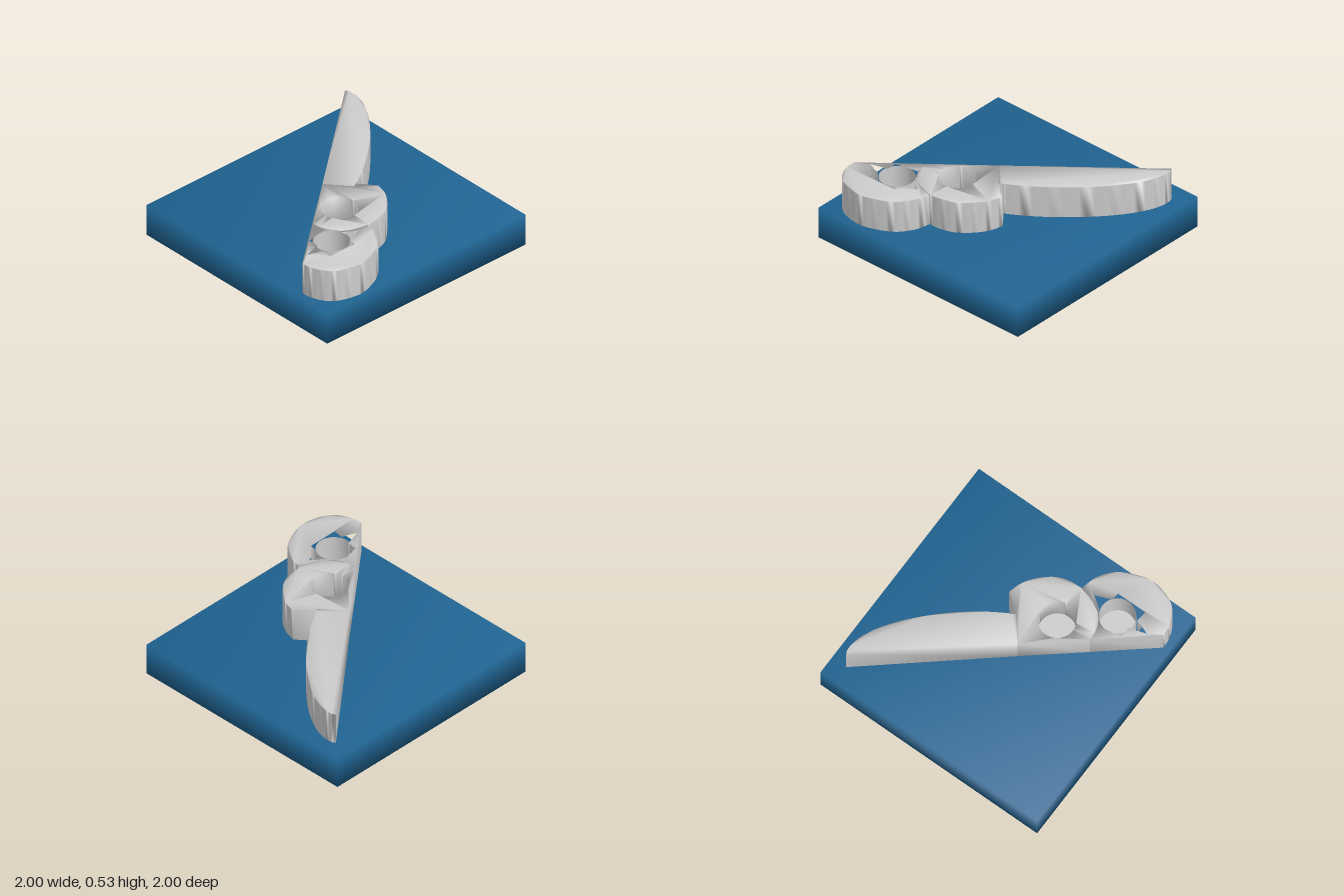
import * as THREE from 'three';
import { mergeVertices } from 'three/addons/utils/BufferGeometryUtils.js';

const SLAB = 0.265, TOP = 0.53;
const grey = new THREE.MeshStandardMaterial({ color: 0xcccccc });
const greyOpen = new THREE.MeshStandardMaterial({ color: 0xcccccc, side: THREE.DoubleSide });
const blue = new THREE.MeshStandardMaterial({ color: 0x1f6391 });

const vec = (pts) => pts.map(([x, z]) => new THREE.Vector2(x, z));
const curve = (pts, n) => new THREE.SplineCurve(vec(pts)).getPoints(n);

// Shares corner vertices so the shading blends over the edges
function soften(geometry) {
  geometry.deleteAttribute('normal');
  geometry.deleteAttribute('uv');
  const merged = mergeVertices(geometry, 1e-4);
  merged.computeVertexNormals();
  return merged;
}

function add(parent, name, geometry, material) {
  const mesh = new THREE.Mesh(geometry, material);
  mesh.name = name;
  parent.add(mesh);
  return mesh;
}

// Upright block from an outline in x and z, standing on the slab
function block(outline, hole) {
  const shape = new THREE.Shape(outline);
  if (hole) shape.holes.push(new THREE.Path(hole));
  const g = new THREE.ExtrudeGeometry(shape, { depth: TOP - SLAB, bevelEnabled: false });
  g.rotateX(Math.PI / 2).translate(0, TOP, 0);
  return soften(g);
}

// Flat disc closing a round hole at the bottom
function floorDisc(parent, name, x, z, r) {
  add(parent, name, new THREE.CircleGeometry(r, 40).rotateX(-Math.PI / 2), grey)
    .position.set(x, SLAB + 0.006, z);
}

export function createModel() {
  const model = new THREE.Group();
  model.name = 'bladeOnSlab';

  // Square base
  add(model, 'baseSlab', soften(new THREE.BoxGeometry(2, SLAB, 2).translate(0, SLAB / 2, 0)), blue);

  // Blade: straight spine, curved cutting edge
  const edge = curve([[0.885, -0.825], [0.885, -0.75], [0.85, -0.63], [0.75, -0.46],
    [0.6, -0.28], [0.4, -0.09], [0.2, 0.06], [0.04, 0.155]], 32);
  add(model, 'blade', block([...vec([[-0.11, -0.03], [0.87, -0.855]]), ...edge]), grey);

  // Upper handle lobe with a round finger hole
  const upper = new THREE.Group();
  upper.name = 'upperHandle';
  const upperArc = curve([[0.185, 0.265], [0.15, 0.38], [0.07, 0.49], [-0.05, 0.58], [-0.2, 0.61],
    [-0.34, 0.585], [-0.44, 0.53], [-0.51, 0.43], [-0.525, 0.315]], 40);
  const ring = new THREE.Path().absarc(-0.235, 0.3, 0.145, 0, Math.PI * 2).getPoints(40).slice(0, -1);
  add(upper, 'upperLobe', block([...vec([[-0.11, -0.03], [0.04, 0.155], [0.075, 0.13]]), ...upperArc], ring), grey);
  floorDisc(upper, 'upperHoleFloor', -0.235, 0.3, 0.148);
  model.add(upper);

  // Lower handle lobe: star-shaped opening around a round sleeve
  const lower = new THREE.Group();
  lower.name = 'lowerHandle';
  const lowerArc = curve([[-0.945, 0.665], [-0.94, 0.75], [-0.89, 0.86], [-0.8, 0.93], [-0.64, 0.967],
    [-0.5, 0.935], [-0.36, 0.86], [-0.27, 0.74], [-0.235, 0.607]], 40);
  const joint = vec([[-0.34, 0.585], [-0.44, 0.53], [-0.51, 0.43], [-0.525, 0.315]]);
  const star = vec([[-0.84, 0.605], [-0.72, 0.65], [-0.73, 0.735], [-0.48, 0.735], [-0.47, 0.67],
    [-0.34, 0.62], [-0.44, 0.55], [-0.49, 0.435], [-0.7, 0.475], [-0.7, 0.56]]);
  // Keep the star's right-hand tip inside the lobe
  star[5].set(-0.345, 0.62);
  add(lower, 'lowerLobe', block([...lowerArc, ...joint], star), grey);
  const height = TOP - SLAB;
  add(lower, 'lowerHoleSleeve', new THREE.CylinderGeometry(0.14, 0.14, height, 40, 1, true), greyOpen)
    .position.set(-0.58, SLAB + height / 2, 0.59);
  floorDisc(lower, 'lowerHoleFloor', -0.58, 0.59, 0.14);
  model.add(lower);

  return model;
}
